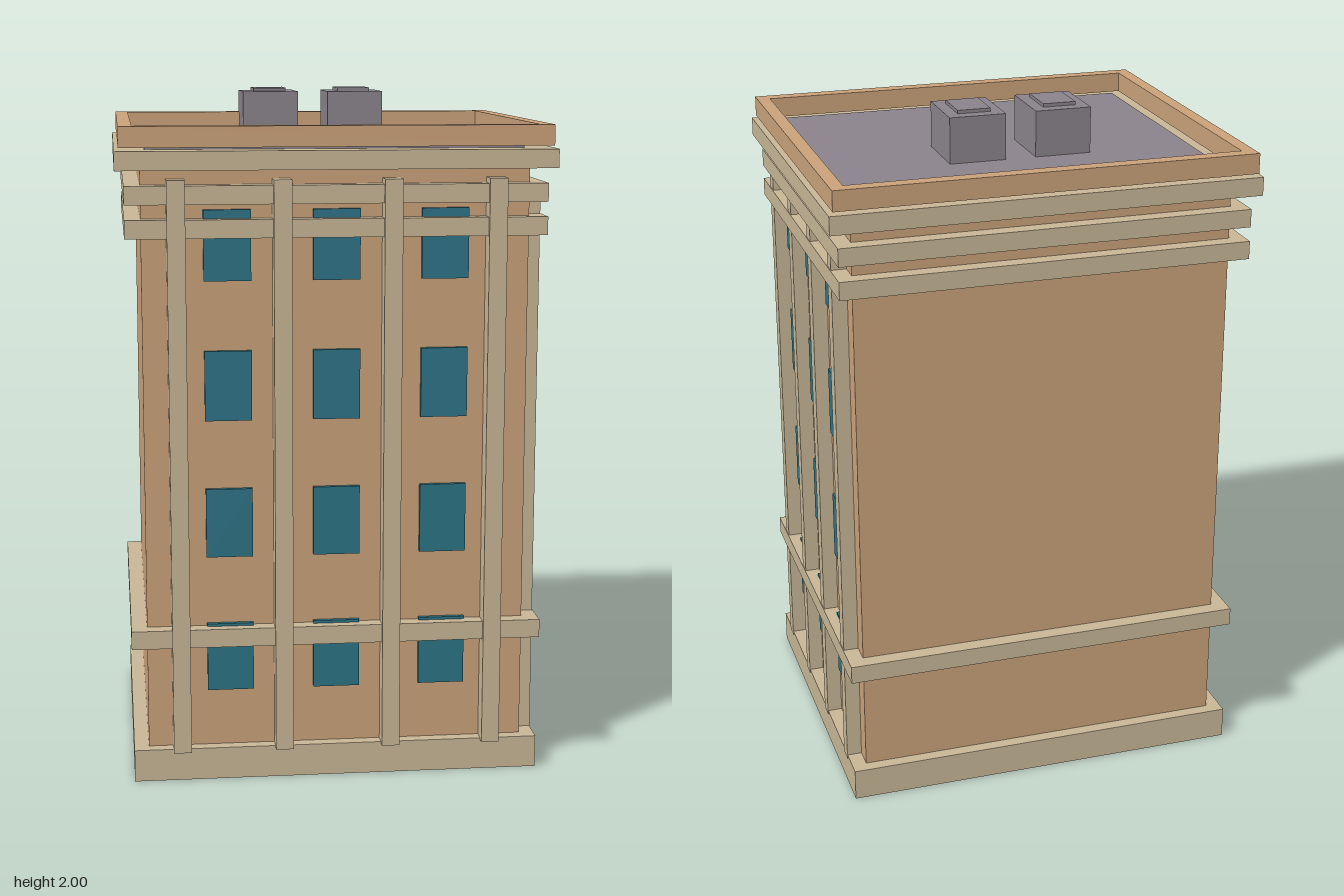
import * as THREE from 'three';

const mat = (name, color) => {
  const m = new THREE.MeshStandardMaterial({ color });
  m.name = name;
  return m;
};

export function createModel() {
  const building = new THREE.Group();
  building.name = 'building';
  const wall = mat('terracotta wall', 0xcaa27a);
  const trim = mat('sandstone trim', 0xc8b696);
  const glass = mat('teal glass', 0x2d7386);
  const roofing = mat('grey roofing', 0x8a838b);

  // Box given by its extents on each axis
  const box = (name, material, [x0, x1], [y0, y1], [z0, z1]) => {
    const mesh = new THREE.Mesh(new THREE.BoxGeometry(x1 - x0, y1 - y0, z1 - z0), material);
    mesh.position.set((x0 + x1) / 2, (y0 + y1) / 2, (z0 + z1) / 2);
    mesh.name = name;
    building.add(mesh);
  };
  const slab = (name, material, hx, hz, y0, y1) =>
    box(name, material, [-hx, hx], [y0, y1], [-hz, hz]);
  const around = (c, w) => [c - w / 2, c + w / 2];

  // Body, plinth and horizontal bands
  slab('body', wall, 0.555, 0.477, 0.01, 1.8);
  slab('plinth', trim, 0.598, 0.513, 0, 0.095);
  slab('lowerBand', trim, 0.601, 0.522, 0.406, 0.46);
  slab('upperBand', trim, 0.601, 0.522, 1.598, 1.651);
  slab('topBand', trim, 0.601, 0.522, 1.693, 1.746);
  slab('cornice', trim, 0.626, 0.539, 1.789, 1.843);
  slab('roofDeck', roofing, 0.541, 0.462, 1.83, 1.855);

  // Parapet: rectangular frame
  const frame = new THREE.Shape();
  const rect = (path, hx, hz) =>
    path.moveTo(-hx, -hz).lineTo(hx, -hz).lineTo(hx, hz).lineTo(-hx, hz).closePath();
  rect(frame, 0.614, 0.532);
  const opening = new THREE.Path();
  rect(opening, 0.575, 0.491);
  frame.holes.push(opening);
  const parapet = new THREE.Mesh(
    new THREE.ExtrudeGeometry(frame, { depth: 0.059, bevelEnabled: false }), wall);
  parapet.rotation.x = -Math.PI / 2;
  parapet.position.y = 1.852;
  parapet.name = 'parapet';
  building.add(parapet);

  // Pilasters on the front and on the +x side
  for (const x of [-0.457, -0.157, 0.157, 0.456])
    box('frontPilaster', trim, around(x, 0.052), [0.09, 1.762], [0.47, 0.535]);
  for (const z of [0.402, 0.137, -0.129, -0.395])
    box('sidePilaster', trim, [0.55, 0.599], [0.083, 1.72], around(z, 0.044));

  // Windows, four storeys on the same two sides
  for (let floor = 0; floor < 4; floor++) {
    const y = around(0.367 + floor * 0.4027, 0.202);
    for (const x of [-0.312, 0, 0.312])
      box('frontWindow', glass, around(x, 0.135), y, [0.482, 0.491]);
    for (const z of [0.271, 0.003, -0.264])
      box('sideWindow', glass, [0.56, 0.569], y, around(z, 0.138));
    // Solid backing closes the reveal between plate and wall
    for (const x of [-0.312, 0, 0.312])
      box('frontWindowFrame', glass, around(x, 0.135), y, [0.474, 0.482]);
    for (const z of [0.271, 0.003, -0.264])
      box('sideWindowFrame', glass, [0.552, 0.56], y, around(z, 0.138));
  }

  // Rooftop units with raised lids
  for (const x of [-0.148, 0.109]) {
    box('roofUnit', roofing, around(x, 0.167), [1.85, 1.99], [-0.191, 0.01]);
    box('roofUnitLid', roofing, around(x, 0.098), [1.985, 2], [-0.154, -0.027]);
  }
  return building;
}
